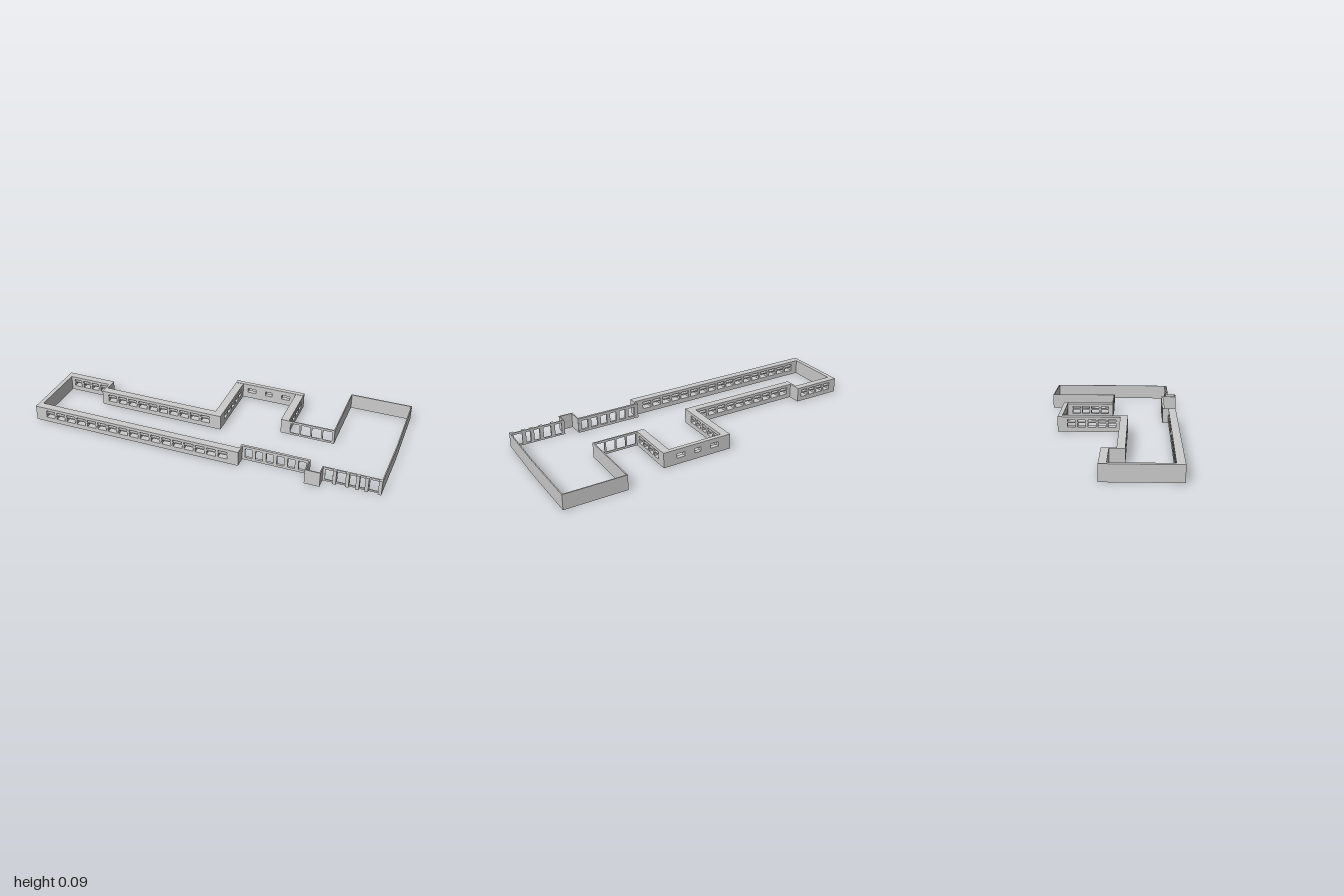
import * as THREE from 'three';

const H = 0.087;
const material = new THREE.MeshStandardMaterial({ color: 0xcccccc, side: THREE.DoubleSide });

// Wall panel from u0 to u1 with rectangular openings [a, b, bottom, top]
function panel(u0, u1, depth, holes, height = H) {
  const rect = (T, a, b, lo, hi) => {
    const s = new T();
    s.moveTo(a, lo).lineTo(b, lo).lineTo(b, hi).lineTo(a, hi).closePath();
    return s;
  };
  const shape = rect(THREE.Shape, u0, u1, 0, height);
  for (const h of holes) shape.holes.push(rect(THREE.Path, ...h));
  return new THREE.ExtrudeGeometry(shape, { depth, bevelEnabled: false });
}

// Evenly spaced openings
function row(from, to, count, gap, lo, hi) {
  const pitch = (to - from) / count;
  return Array.from({ length: count }, (_, i) =>
    [from + i * pitch + gap / 2, from + (i + 1) * pitch - gap / 2, lo, hi]);
}

// Windows with a low pane and a narrow pane above a transom
const windows = (from, to, count) => [
  ...row(from, to, count, 0.012, 0.027, 0.051),
  ...row(from, to, count, 0.012, 0.058, 0.07),
];

export function createModel() {
  const group = new THREE.Group();
  group.name = 'buildingWalls';

  const add = (name, geometry) => {
    const mesh = new THREE.Mesh(geometry, material);
    mesh.name = name;
    group.add(mesh);
  };
  // Wall running along x
  const wallX = (name, x0, x1, z0, z1, holes = [], height = H) =>
    add(name, panel(x0, x1, z1 - z0, holes, height).translate(0, 0, z0));
  // Wall running along z
  const wallZ = (name, x0, x1, z0, z1, holes = [], height = H) =>
    add(name, panel(z0, z1, x1 - x0, holes, height).rotateY(-Math.PI / 2).translate(x1, 0, 0));

  // Long wing
  wallX('wingFrontWall', -1, 0.23, 0.337, 0.38, windows(-0.94, 0.175, 17));
  wallZ('wingEndWall', -1, -0.975, 0.02, 0.337);
  wallX('wingBackWallEnd', -1, -0.71, -0.02, 0.02, windows(-0.96, -0.73, 4));
  wallZ('wingStepWall', -0.722, -0.71, 0.02, 0.1);
  wallX('wingBackWall', -0.71, -0.025, 0.057, 0.1, windows(-0.69, -0.04, 10));

  // Projecting rear block, slightly taller
  wallZ('rearBlockWestWall', -0.025, 0.02, -0.275, 0.1, windows(-0.25, 0.04, 5));
  wallX('rearBlockBackWall', -0.025, 0.39, -0.3, -0.275, [
    [0.05, 0.1, 0.036, 0.062], [0.16, 0.2, 0.036, 0.062], [0.26, 0.31, 0.036, 0.062],
  ], H + 0.002);
  wallZ('rearBlockEastWall', 0.345, 0.39, -0.275, 0.002, windows(-0.25, -0.02, 4));

  // Glazed rear link
  wallX('rearGlazedWall', 0.39, 0.65, -0.003, 0.003, row(0.395, 0.645, 4, 0.01, 0.012, 0.074));

  // Large hall with thin walls
  wallZ('hallWestWall', 0.647, 0.653, -0.395, 0.003);
  wallX('hallBackWall', 0.647, 1, -0.395, -0.389);
  wallZ('hallEastWall', 0.994, 1, -0.389, 0.02);
  // Front half of the east side leans gently inward
  const lean = panel(0.02, 0.337, 0.006, []).rotateY(-Math.PI / 2).translate(1, 0, 0);
  const p = lean.attributes.position;
  for (let i = 0; i < p.count; i++) p.setX(i, p.getX(i) - 0.01 * (p.getZ(i) - 0.02) / 0.317);
  lean.computeVertexNormals();
  add('hallEastFrontWall', lean);

  // Glazed front of the hall with pilasters
  wallX('hallFrontWall', 0.68, 0.99, 0.331, 0.337, [
    [0.692, 0.732], [0.756, 0.8], [0.822, 0.855], [0.875, 0.902], [0.925, 0.972],
  ].map(([a, b]) => [a, b, 0.01, 0.074]));
  for (const x of [0.744, 0.811, 0.865, 0.912, 0.981])
    wallX('pilaster', x - 0.009, x + 0.009, 0.337, 0.349);

  // Entrance porch
  wallZ('porchWestWall', 0.597, 0.603, 0.303, 0.389);
  wallX('porchFrontWall', 0.597, 0.68, 0.389, 0.395);
  wallZ('porchEastWall', 0.674, 0.68, 0.331, 0.389);

  // Recessed front gallery with tall openings
  wallX('galleryFrontWall', 0.23, 0.597, 0.302, 0.315, row(0.235, 0.592, 6, 0.02, 0.015, 0.071));
  wallZ('galleryReturnWall', 0.222, 0.23, 0.302, 0.337);

  return group;
}
